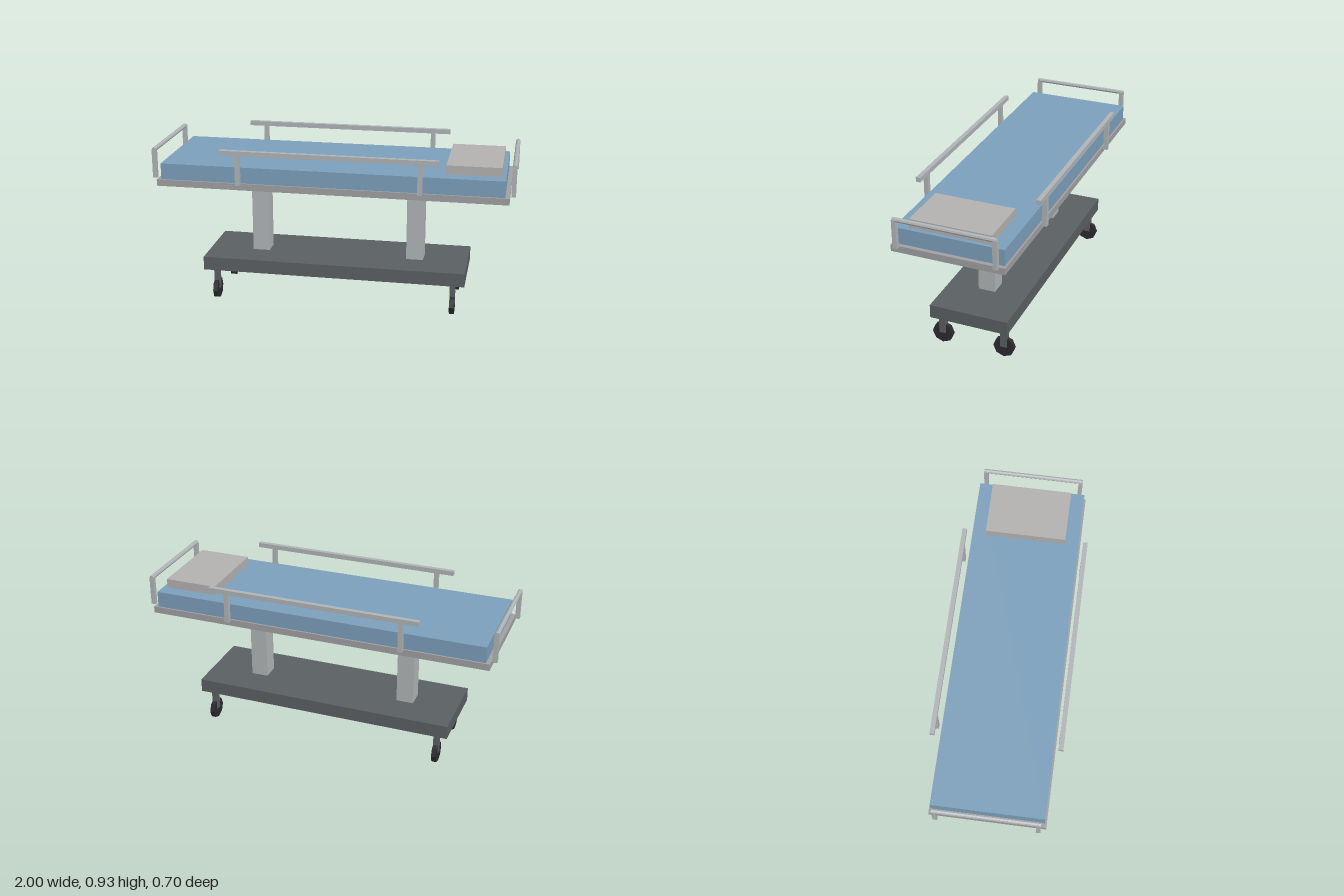
import * as THREE from 'three';

const material = (color) => new THREE.MeshStandardMaterial({ color, flatShading: true });

export function createModel() {
  const bed = new THREE.Group();
  bed.name = 'hospitalBed';

  const frameGrey = material(0xa0a0a3);
  const metal = material(0xb0b4b6);
  const darkMetal = material(0x5a5f62);
  const rubber = material(0x2b2a2f);
  const fabric = material(0x7c9fbb);
  const pillowCloth = material(0xb3b1b0);

  const add = (name, geometry, mat, x, y, z, parent = bed) => {
    const mesh = new THREE.Mesh(geometry, mat);
    mesh.name = name;
    mesh.position.set(x, y, z);
    parent.add(mesh);
    return mesh;
  };
  // Box given by its size, centre x and z, and bottom and top heights
  const box = (name, mat, w, d, x, z, y0, y1, parent) =>
    add(name, new THREE.BoxGeometry(w, y1 - y0, d), mat, x, (y0 + y1) / 2, z, parent);
  const group = (name) => {
    const g = new THREE.Group();
    g.name = name;
    bed.add(g);
    return g;
  };

  // Chassis, deck and bedding
  box('base', darkMetal, 1.49, 0.448, 0, 0, 0.183, 0.26);
  box('deck', frameGrey, 1.937, 0.62, 0, 0, 0.7, 0.737);
  box('mattress', fabric, 1.89, 0.6, 0, 0, 0.737, 0.827);
  box('pillow', pillowCloth, 0.298, 0.447, 0.773, 0, 0.827, 0.877);

  for (const sx of [-1, 1]) {
    // Lifting column
    box('column', metal, 0.097, 0.097, sx * 0.447, 0, 0.26, 0.7);

    // Head or foot rail: two posts and an eight-sided bar
    const end = group(sx > 0 ? 'headRail' : 'footRail');
    for (const sz of [-1, 1]) {
      box('endPost', metal, 0.024, 0.024, sx * 0.9875, sz * 0.27, 0.737, 0.897, end);
    }
    const bar = new THREE.CylinderGeometry(0.0125, 0.0125, 0.56, 8).rotateX(Math.PI / 2);
    add('endBar', bar, metal, sx * 0.9875, 0.8975, 0, end);

    // Castors
    for (const sz of [-1, 1]) {
      const castor = group('castor');
      box('castorFork', darkMetal, 0.029, 0.039, sx * 0.678, sz * 0.18, 0.06, 0.183, castor);
      const wheel = new THREE.CylinderGeometry(0.06, 0.06, 0.026, 8).rotateZ(Math.PI / 2);
      add('castorWheel', wheel, rubber, sx * 0.678, 0.06, sz * 0.18, castor);
    }
  }

  // Side rails
  for (const sz of [-1, 1]) {
    const side = group('sideRail');
    box('sideBar', metal, 1.192, 0.025, 0, sz * 0.336, 0.905, 0.931, side);
    for (const sx of [-1, 1]) {
      box('sidePost', metal, 0.025, 0.025, sx * 0.497, sz * 0.336, 0.737, 0.905, side);
    }
  }

  return bed;
}
